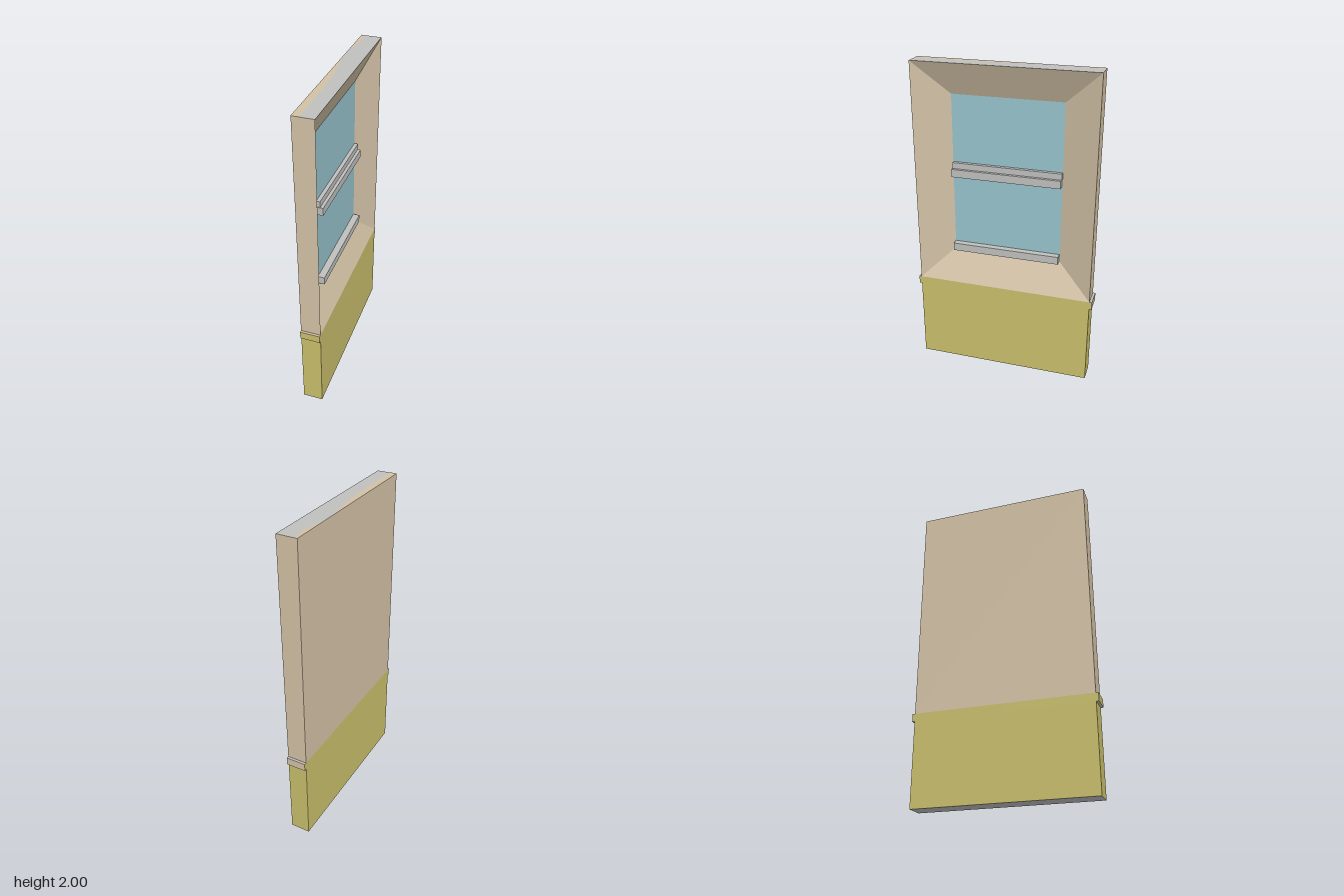
import * as THREE from 'three';

const mat = (name, color) => {
  const m = new THREE.MeshStandardMaterial({ color });
  m.name = name;
  return m;
};

// Flat-shaded faces from a list of four-cornered quads
function quads(list) {
  const pos = [];
  for (const [a, b, c, d] of list) pos.push(...a, ...b, ...c, ...a, ...c, ...d);
  const g = new THREE.BufferGeometry();
  g.setAttribute('position', new THREE.Float32BufferAttribute(pos, 3));
  g.computeVertexNormals();
  return g;
}

// Rectangle in a plane of constant x, counter-clockwise seen from +x
const ring = (x, hz, y0, y1) => [[x, y0, hz], [x, y0, -hz], [x, y1, -hz], [x, y1, hz]];

export function createModel() {
  const plaster = mat('tan plaster', 0xd2c1a5);
  const olive = mat('olive paint', 0xc8be6b);
  const glass = mat('blue glass', 0x97c3cc);
  const grey = mat('light grey', 0xbfc0be);

  const group = new THREE.Group();
  group.name = 'windowWall';
  const add = (name, geometry, material) => {
    const mesh = new THREE.Mesh(geometry, material);
    mesh.name = name;
    group.add(mesh);
    return mesh;
  };
  const box = (name, [x0, x1], [y0, y1], [z0, z1], material) =>
    add(name, new THREE.BoxGeometry(x1 - x0, y1 - y0, z1 - z0), material)
      .position.set((x0 + x1) / 2, (y0 + y1) / 2, (z0 + z1) / 2);

  const T = 0.062, W = 0.562, Y0 = 0.58, glassX = -0.03;

  // Wainscot and its slightly longer ledge, in two halves with different ends
  box('wainscot', [-T, T], [0, 0.53], [-W, W], [olive, olive, olive, grey, olive, olive]);
  box('ledgeFront', [-T, T], [0.53, Y0], [0, 0.578], [olive, olive, plaster, grey, olive, olive]);
  box('ledgeBack', [-T, T], [0.53, Y0], [-0.578, 0], [olive, olive, grey, grey, olive, plaster]);

  // Upper wall: outer sides, then sloped reveals running in to the glass
  const back = ring(-T, W, Y0, 2);
  const front = ring(T, W, Y0, 2);
  const inner = ring(glassX, 0.345, 0.785, 1.8);
  const side = (a, b, i) => [a[i], a[(i + 1) % 4], b[(i + 1) % 4], b[i]];
  add('wallShell', quads([side(back, front, 0), side(back, front, 1), side(back, front, 3),
    [...back].reverse()]), plaster);
  add('wallTop', quads([side(back, front, 2)]), grey);
  add('windowReveal', quads([0, 1, 2, 3].map((i) => side(front, inner, i))), plaster);
  add('windowPane', quads([inner]), glass);

  // Uneven tan strip along the rear edge of the wall top
  const strip = new THREE.Shape([
    [-T, -W], [-0.02, -W], [-0.02, -0.25], [-0.027, -0.02], [-0.045, 0.1], [-0.059, 0.2],
    [-0.058, 0.31], [-0.037, 0.44], [-0.038, 0.52], [-0.045, W], [-T, W],
  ].map(([x, y]) => new THREE.Vector2(x, y)));
  add('topStrip', new THREE.ShapeGeometry(strip).rotateX(-Math.PI / 2), plaster)
    .position.y = 2.001;

  // Sash rails across the pane
  box('bottomRail', [glassX, 0.012], [0.785, 0.835], [-0.342, 0.345], grey);
  box('meetingRailLower', [glassX, 0.012], [1.29, 1.34], [-0.342, 0.345], grey);
  box('meetingRailUpper', [glassX, -0.007], [1.34, 1.378], [-0.345, 0.342], grey);

  return group;
}
